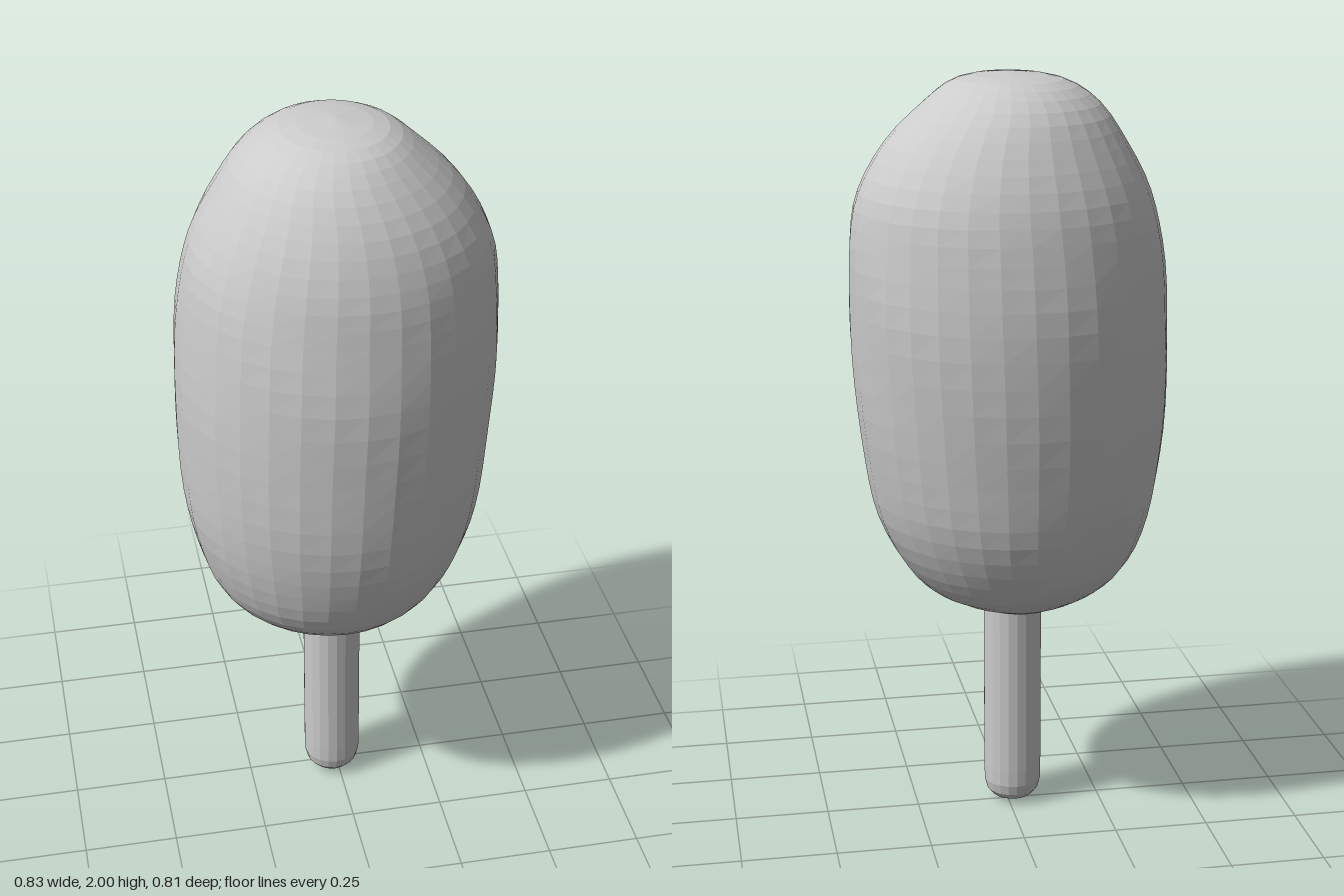
import * as THREE from 'three';

// Cross-sections from bottom to top: y, xMin, xMax, zMin, zMax
const SECTIONS = [
  [0.575, -0.02, -0.02, 0.01, 0.01],
  [0.58, -0.11, 0.06, -0.10, 0.13],
  [0.63, -0.245, 0.20, -0.21, 0.24],
  [0.71, -0.33, 0.28, -0.28, 0.32],
  [0.84, -0.38, 0.345, -0.335, 0.37],
  [1.0, -0.407, 0.38, -0.365, 0.398],
  [1.2, -0.417, 0.402, -0.391, 0.405],
  [1.4, -0.412, 0.413, -0.40, 0.402],
  [1.57, -0.397, 0.408, -0.385, 0.38],
  [1.7, -0.365, 0.385, -0.36, 0.355],
  [1.82, -0.305, 0.315, -0.31, 0.31],
  [1.92, -0.235, 0.215, -0.245, 0.24],
  [1.98, -0.14, 0.13, -0.155, 0.15],
  [2.0, 0, 0, 0, 0],
];

// Smooth curve through one pair of limits (x or z) along the height
function limits(a, b) {
  const points = SECTIONS.map((s) => new THREE.Vector3(s[0], s[a], s[b]));
  return new THREE.CatmullRomCurve3(points, false, 'catmullrom', 0.5);
}

// Slightly lopsided rounded bar: an open tube shaped ring by ring
function barGeometry() {
  const xLimits = limits(1, 2);
  const zLimits = limits(3, 4);
  const geometry = new THREE.CylinderGeometry(1, 1, 1, 32, 39, true);
  const pos = geometry.attributes.position;
  for (let i = 0; i < pos.count; i++) {
    const t = THREE.MathUtils.clamp(pos.getY(i) + 0.5, 0, 1);
    const px = xLimits.getPoint(t);
    const pz = zLimits.getPoint(t);
    const ux = pos.getX(i);
    const uz = pos.getZ(i);
    const angle = Math.atan2(ux, uz);
    // faint hand-moulded ripples, fading out at both ends
    const ripple = 1 + 0.006 * Math.sin(Math.PI * t) * Math.sin(3 * angle + 17 * t) * Math.cos(23 * t + 2 * angle);
    pos.setXYZ(
      i,
      (px.y + px.z) / 2 + ux * ripple * (px.z - px.y) / 2,
      px.x,
      (pz.y + pz.z) / 2 + uz * ripple * (pz.z - pz.y) / 2,
    );
  }
  geometry.computeVertexNormals();
  return geometry;
}

export function createModel() {
  const group = new THREE.Group();
  group.name = 'frozenBar';
  const material = new THREE.MeshStandardMaterial({ color: 0xcccccc, flatShading: true });

  const bar = new THREE.Mesh(barGeometry(), material);
  bar.name = 'bar';
  group.add(bar);

  // Round stick with a softly rounded lower end
  const profile = [
    [0, 0], [0.03, 0.003], [0.054, 0.014], [0.07, 0.032], [0.077, 0.06], [0.078, 0.1], [0.078, 0.62], [0, 0.62],
  ].map(([r, y]) => new THREE.Vector2(r, y));
  const stick = new THREE.Mesh(new THREE.LatheGeometry(profile, 20), material);
  stick.name = 'stick';
  stick.position.set(-0.015, 0, 0.013);
  group.add(stick);

  return group;
}
